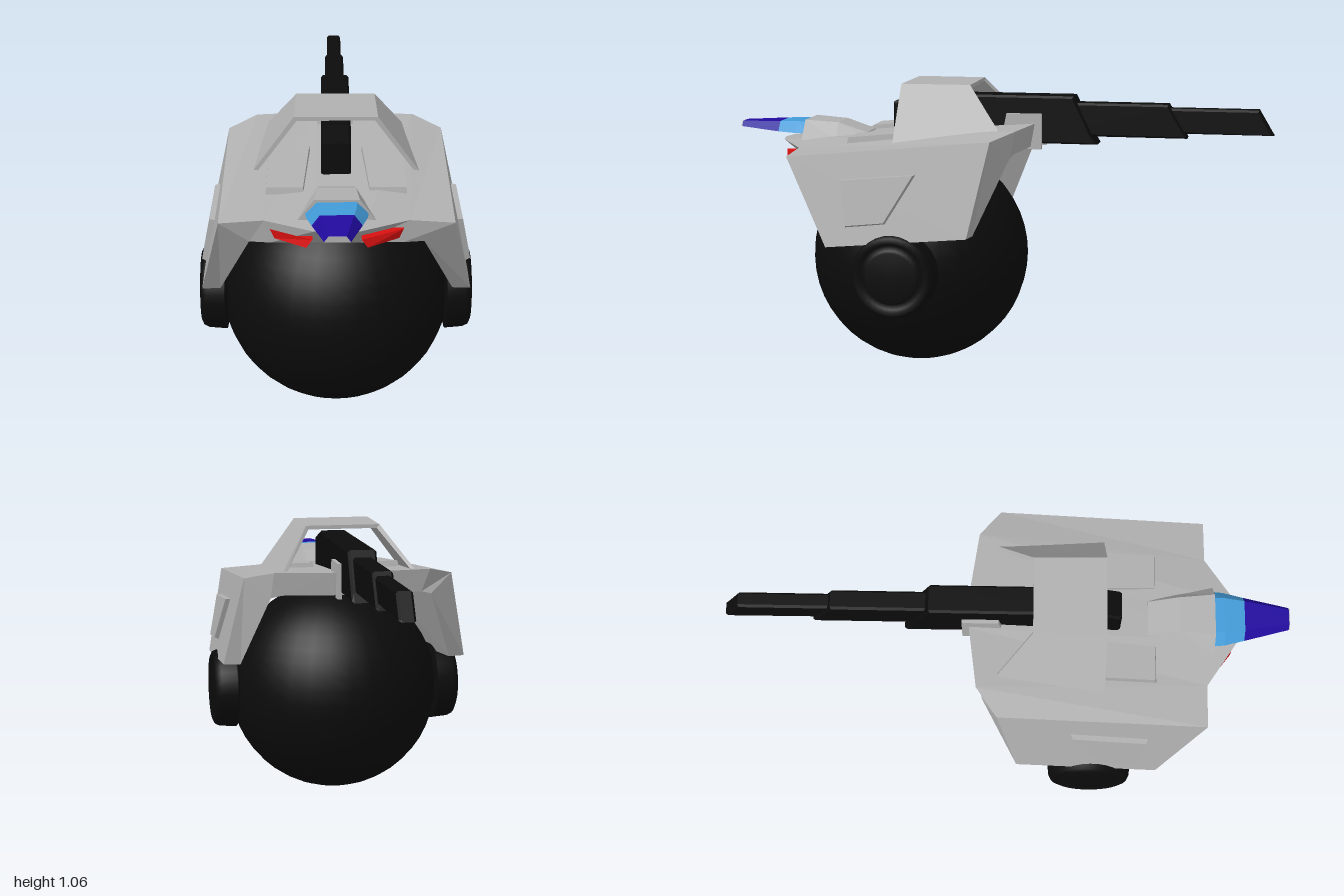
import * as THREE from 'three';

const mat = (name, color) => Object.assign(new THREE.MeshStandardMaterial({ color }), { name });

// flat-faced geometry from a list of polygons (each a fan of [x,y,z] corners)
function fromPolys(polys) {
  const pos = [];
  for (const p of polys)
    for (let i = 1; i < p.length - 1; i++) pos.push(...p[0], ...p[i], ...p[i + 1]);
  const g = new THREE.BufferGeometry();
  g.setAttribute('position', new THREE.Float32BufferAttribute(pos, 3));
  g.computeVertexNormals();
  return g;
}

// closed solid through convex rings, counter-clockwise seen from the last ring's side
function loft(rings) {
  const polys = [[...rings[0]].reverse(), rings[rings.length - 1]];
  for (let k = 0; k < rings.length - 1; k++) {
    const a = rings[k], b = rings[k + 1], n = a.length;
    for (let i = 0; i < n; i++) polys.push([a[i], a[(i + 1) % n], b[(i + 1) % n], b[i]]);
  }
  return fromPolys(polys);
}

// mirrored thick shell: half rows run from the middle to the right, rows wrap around its thickness
function shell(halfRows) {
  const rows = halfRows.map(h => [...h.filter(p => p[0] > 0).map(([x, y, z]) => [-x, y, z]).reverse(), ...h]);
  const polys = [], m = rows[0].length;
  rows.forEach((p, k) => {
    const q = rows[(k + 1) % rows.length];
    for (let j = 0; j < m - 1; j++) polys.push([p[j], p[j + 1], q[j + 1], q[j]]);
  });
  polys.push(rows.map(r => r[0]), rows.map(r => r[m - 1]).reverse());
  return fromPolys(polys);
}

// trapezoid section across z
const trap = (z, y0, y1, w0, w1) => [[-w0, y0, z], [w0, y0, z], [w1, y1, z], [-w1, y1, z]];

// raised panel: ring pushed along an offset and slightly tapered
function panel(ring, off, taper = 1) {
  const c = [0, 1, 2].map(i => ring.reduce((s, p) => s + p[i], 0) / ring.length);
  return [ring, ring.map(p => p.map((v, i) => c[i] + (v - c[i]) * taper + off[i]))];
}
const mirror = rings => rings.map(r => r.map(([x, y, z]) => [-x, y, z]).reverse());

export function createModel() {
  const root = new THREE.Group();
  const grey = mat('armourGrey', 0xb0b0b0);
  const black = mat('black', 0x0b0b0b);
  const sky = mat('lightBlue', 0x429bd8);
  const navy = mat('darkBlue', 0x210a9e);
  const red = mat('lampRed', 0xd81010);
  const add = (name, geo, material) => {
    const mesh = new THREE.Mesh(geo, material);
    mesh.name = name;
    root.add(mesh);
    return mesh;
  };
  const addPair = (name, rings, material) => {
    add(name + 'Left', loft(rings), material);
    add(name + 'Right', loft(mirror(rings)), material);
  };

  // rolling ball
  add('ball', new THREE.SphereGeometry(0.405, 32, 24), black).position.set(0, 0.405, 0.31);

  // wheel hubs with a grooved face
  const hubProfile = [[0.001, 0.36], [0.155, 0.39], [0.155, 0.395], [0.15, 0.455], [0.142, 0.472], [0.125, 0.48],
    [0.116, 0.468], [0.097, 0.468], [0.09, 0.48], [0, 0.48]].map(p => new THREE.Vector2(...p));
  for (const s of [1, -1]) {
    const hub = add(s > 0 ? 'hubLeft' : 'hubRight', new THREE.LatheGeometry(hubProfile, 32), black);
    hub.rotation.z = -s * Math.PI / 2;
    hub.position.set(0, 0.408, 0.31);
  }

  // saddle-shaped body: front lower edge, front rim, back rim, back lower edge
  add('body', shell([
    [[0, 0.745, 0.7], [0.08, 0.745, 0.7], [0.22, 0.745, 0.7], [0.29, 0.745, 0.69], [0.4, 0.505, 0.54]],
    [[0, 0.835, 0.835], [0.075, 0.835, 0.82], [0.24, 0.828, 0.71], [0.39, 0.818, 0.71], [0.462, 0.508, 0.55]],
    [[0, 0.915, -0.14], [0.07, 0.915, -0.135], [0.29, 0.915, -0.105], [0.39, 0.888, -0.03], [0.462, 0.555, 0.04]],
    [[0, 0.83, -0.12], [0.07, 0.83, -0.12], [0.26, 0.83, -0.095], [0.3, 0.82, -0.085], [0.4, 0.555, 0.03]],
  ]), grey);

  // open canopy over the gun
  add('canopy', shell([
    [[0.135, 1.046, 0.345], [0.278, 0.855, 0.345]],
    [[0.145, 1.06, 0.345], [0.295, 0.855, 0.345]],
    [[0.14, 1.06, 0.09], [0.255, 0.895, -0.045]],
    [[0.13, 1.046, 0.09], [0.24, 0.895, -0.04]],
  ]), grey);

  // raised panels on the sides and the top
  addPair('sidePanel', panel([[0.448, 0.58, 0.48], [0.445, 0.595, 0.335], [0.41, 0.77, 0.23], [0.415, 0.745, 0.505]],
    [0.018, 0.003, 0], 0.95), grey);
  addPair('topPanel', panel([[0.11, 0.838, 0.53], [0.24, 0.838, 0.53], [0.24, 0.872, 0.2], [0.09, 0.872, 0.2]],
    [0, 0.032, 0], 0.96), grey);

  // headlamps following the slanted front
  addPair('headlamp', panel([[0.1, 0.77, 0.74], [0.205, 0.77, 0.66], [0.22, 0.8, 0.655], [0.08, 0.8, 0.745]],
    [0, 0, 0.062]), red);

  // nose probe
  add('probeHousing', loft([trap(0.5, 0.845, 0.866, 0.075, 0.06), trap(0.61, 0.845, 0.902, 0.1, 0.065),
    trap(0.735, 0.84, 0.91, 0.128, 0.075)]), grey);
  add('probeBase', loft([trap(0.72, 0.862, 0.902, 0.105, 0.065), trap(0.77, 0.862, 0.902, 0.1, 0.065),
    trap(0.84, 0.864, 0.9, 0.082, 0.055)]), sky);
  add('probeTip', loft([trap(0.84, 0.864, 0.9, 0.082, 0.055), trap(0.997, 0.875, 0.894, 0.042, 0.028)]), navy);
  add('probeEnd', loft([trap(0.997, 0.875, 0.894, 0.042, 0.028), trap(1, 0.875, 0.894, 0.042, 0.028)]), grey);

  // three-stage gun, profiles as [z, y]
  const stages = {
    gunBreech: [0.104, [[0.4, 0.865], [0.15, 0.84], [-0.365, 0.84], [-0.345, 0.87], [-0.275, 1.015], [0.3, 1.015], [0.4, 0.982]]],
    gunMiddle: [0.072, [[-0.2, 0.868], [-0.69, 0.868], [-0.685, 0.88], [-0.62, 0.99], [-0.2, 0.99]]],
    gunMuzzle: [0.056, [[-0.55, 0.885], [-1, 0.885], [-0.995, 0.892], [-0.945, 0.976], [-0.55, 0.976]]],
  };
  for (const [name, [width, pts]] of Object.entries(stages)) {
    const b = 0.008;
    const geo = new THREE.ExtrudeGeometry(new THREE.Shape(pts.map(([z, y]) => new THREE.Vector2(-z, y))), {
      depth: width - 2 * b, bevelThickness: b, bevelSize: b, bevelOffset: -b, bevelSegments: 1,
    });
    geo.translate(0, 0, b - width / 2).rotateY(Math.PI / 2);
    add(name, geo, black);
  }

  // bracket cheeks beside the gun
  const cheek = new THREE.Shape([[0.02, 0.9], [0.1, 0.9], [0.11, 0.82], [0.16, 0.82], [0.16, 0.95], [0.03, 0.95]]
    .map(p => new THREE.Vector2(...p)));
  for (const s of [1, -1]) {
    const geo = new THREE.ExtrudeGeometry(cheek, { depth: 0.015, bevelEnabled: false });
    geo.translate(0, 0, -0.0075).rotateY(Math.PI / 2).translate(s * 0.0585, 0, 0);
    add(s > 0 ? 'gunBracketLeft' : 'gunBracketRight', geo, grey);
  }
  return root;
}
